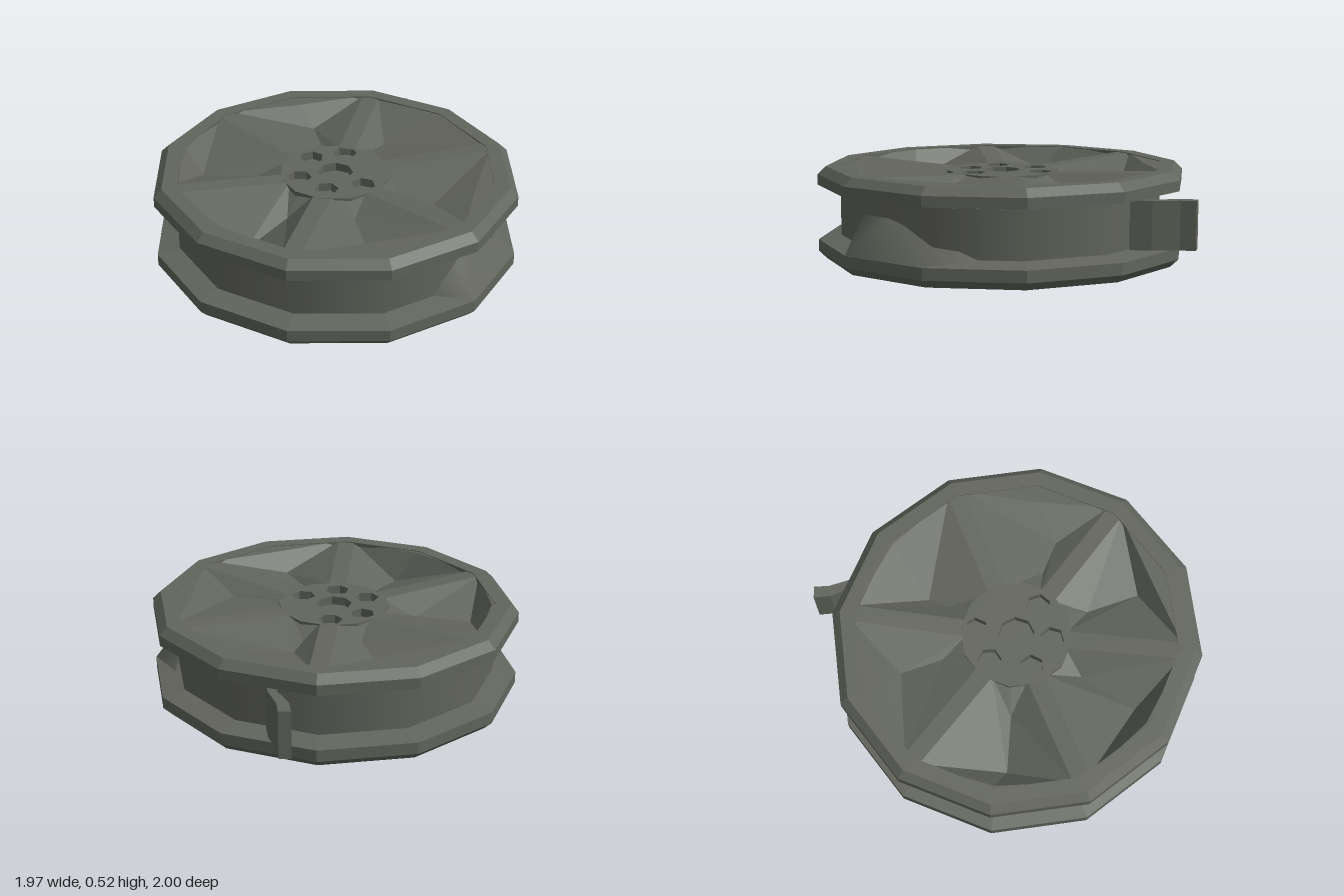
import * as THREE from 'three';

const MID = 0.2625; // half height of the reel
const SIDES = 12;
const TURN = Math.PI / 12;
const DEPTH = 1.015; // the reel is slightly longer front to back

export function createModel() {
  const reel = new THREE.Group();
  reel.name = 'reel';
  const grey = new THREE.MeshStandardMaterial({ color: 0x62655d, flatShading: true });
  grey.name = 'grey plastic';
  const smoothGrey = grey.clone();
  smoothGrey.name = 'grey wound strip';
  smoothGrey.flatShading = false;
  smoothGrey.side = THREE.DoubleSide;

  const add = (parent, name, geometry, material = grey) => {
    const mesh = new THREE.Mesh(geometry, material);
    mesh.name = name;
    parent.add(mesh);
    return mesh;
  };
  const lathe = (points) => new THREE.LatheGeometry(
    points.map(([r, y]) => new THREE.Vector2(r, y)), SIDES, TURN).scale(1, 1, DEPTH);

  // Six flat spokes with an uneven hollow between each pair
  const faceGeometry = () => {
    // Outer edge radius, inner and outer radius of the low fold, drop, twist in degrees
    const hollows = [
      [0.79, 0.4, 0.6, 0.06, 14],
      [0.8, 0.42, 0.72, 0.1, 2],
      [0.87, 0.42, 0.76, 0.15, -6],
      [0.87, 0.45, 0.76, 0.12, -4],
      [0.79, 0.42, 0.66, 0.09, 5],
      [0.87, 0.42, 0.54, 0.09, -12],
    ];
    const pos = [];
    const p = (r, degrees, y) => {
      const a = degrees * Math.PI / 180;
      return [r * Math.cos(a), y - MID, r * Math.sin(a) * DEPTH];
    };
    const tri = (...corners) => pos.push(...corners.flat());
    hollows.forEach(([edge, lowIn, lowOut, drop, twist], i) => {
      const s = 15 + i * 60, c = s + 30, e = s + 60;
      const a0 = p(0.28, s + 10, 0.486), a1 = p(0.9, s + 3, 0.518);
      const b0 = p(0.28, e - 10, 0.486), b1 = p(0.9, e - 3, 0.518);
      const hub = p(0.28, c, 0.482), mid = p(edge, c, 0.516), rim = p(0.9, c, 0.518);
      const low1 = p(lowIn, c + twist, 0.505 - drop * 0.8), low2 = p(lowOut, c + twist, 0.505 - drop);
      // Hollow
      tri(a0, hub, low1); tri(hub, b0, low1);
      tri(b0, b1, low2); tri(b0, low2, low1);
      tri(b1, mid, low2); tri(mid, a1, low2);
      tri(a1, a0, low1); tri(a1, low1, low2);
      // Flat border by the rim
      tri(a1, mid, rim); tri(mid, b1, rim);
      // Spoke
      const s0 = p(0.28, s - 10, 0.486), s1 = p(0.9, s - 3, 0.518);
      tri(s0, a0, s1); tri(a0, a1, s1);
    });
    const g = new THREE.BufferGeometry();
    g.setAttribute('position', new THREE.Float32BufferAttribute(pos, 3));
    g.computeVertexNormals();
    return g;
  };

  const polygon = (path, cx, cy, r, sides, start) => {
    const pts = [];
    for (let i = 0; i < sides; i++) {
      const a = start + i * 2 * Math.PI / sides;
      pts.push(new THREE.Vector2(cx + r * Math.cos(a), cy + r * Math.sin(a)));
    }
    return path.setFromPoints(pts);
  };

  // Hub plate; the upper one has a centre hole and five small holes around it
  const hubGeometry = (withHoles) => {
    const shape = polygon(new THREE.Shape(), 0, 0, 0.31, SIDES, TURN);
    if (withHoles) {
      shape.holes.push(polygon(new THREE.Path(), 0, 0, 0.1, 8, 0.2));
      for (const [x, z] of [[-0.03, -0.21], [0.16, -0.16], [-0.2, -0.05], [-0.14, 0.14], [0.06, 0.2]]) {
        shape.holes.push(polygon(new THREE.Path(), x, -z, 0.068, 6, x * 3));
      }
    }
    return new THREE.ExtrudeGeometry(shape, { depth: 0.06, bevelEnabled: false })
      .rotateX(-Math.PI / 2).translate(0, 0.428 - MID, 0);
  };

  // Two flanges, the lower one turned over; only the upper one stands on a collar
  const undersides = {
    upper: [[0.84, 0.39], [0.84, 0.42], [1.02, 0.42]],
    lower: [[0.86, 0.383], [1.02, 0.413]],
  };
  for (const [side, underside] of Object.entries(undersides)) {
    const flange = new THREE.Group();
    flange.name = side + 'Flange';
    const profile = [...underside, [1.02, 0.478], [0.975, 0.522], [0.89, 0.522], [0.89, 0.5]];
    add(flange, side + 'Rim', lathe(profile.map(([r, y]) => [r, y - MID])));
    add(flange, side + 'SpokedFace', faceGeometry());
    add(flange, side + 'Hub', hubGeometry(side === 'upper'));
    if (side === 'upper') {
      const floor = new THREE.CylinderGeometry(0.3, 0.3, 0.02, SIDES);
      add(flange, 'hubFloor', floor).position.y = 0.43 - MID;
    }
    flange.position.y = MID;
    if (side === 'lower') flange.rotation.z = Math.PI;
    reel.add(flange);
  }

  // Wound strip: wall and the ledge that closes it towards the collar
  const drum = new THREE.CylinderGeometry(0.895, 0.895, 0.265, SIDES, 1, true, TURN).scale(1, 1, DEPTH);
  add(reel, 'woundStrip', drum, smoothGrey).position.y = 0.2675;
  const ledge = new THREE.RingGeometry(0.82, 0.895, SIDES, 1, TURN).rotateX(-Math.PI / 2).scale(1, 1, DEPTH);
  add(reel, 'stripLedge', ledge, smoothGrey).position.y = 0.4;

  // Loose end of the strip, bent away from the drum
  const tail = new THREE.Shape([
    [0.74, -0.44], [0.81, -0.52], [0.845, -0.67], [0.895, -0.75],
    [0.947, -0.71], [0.9, -0.64], [0.85, -0.5], [0.79, -0.4],
  ].map(([x, z]) => new THREE.Vector2(x, -z)));
  const tailGeometry = new THREE.ExtrudeGeometry(tail, { depth: 0.265, bevelEnabled: false });
  tailGeometry.rotateX(-Math.PI / 2).translate(0, 0.135, 0);
  add(reel, 'looseEnd', tailGeometry);

  // Sloping fillet between the lower rim and the drum
  const fillet = new THREE.BufferGeometry();
  fillet.setAttribute('position', new THREE.Float32BufferAttribute([
    0.08, 0.14, 0.88, 0.22, 0.32, 0.882, 0.4, 0.32, 0.8,
    0.78, 0.14, 0.45, 0.72, 0.113, 0.73, 0.264, 0.113, 1.0,
  ], 3));
  fillet.setIndex([0, 5, 1, 1, 5, 2, 2, 5, 4, 2, 4, 3]);
  fillet.computeVertexNormals();
  add(reel, 'drumFillet', fillet, smoothGrey);

  return reel;
}
